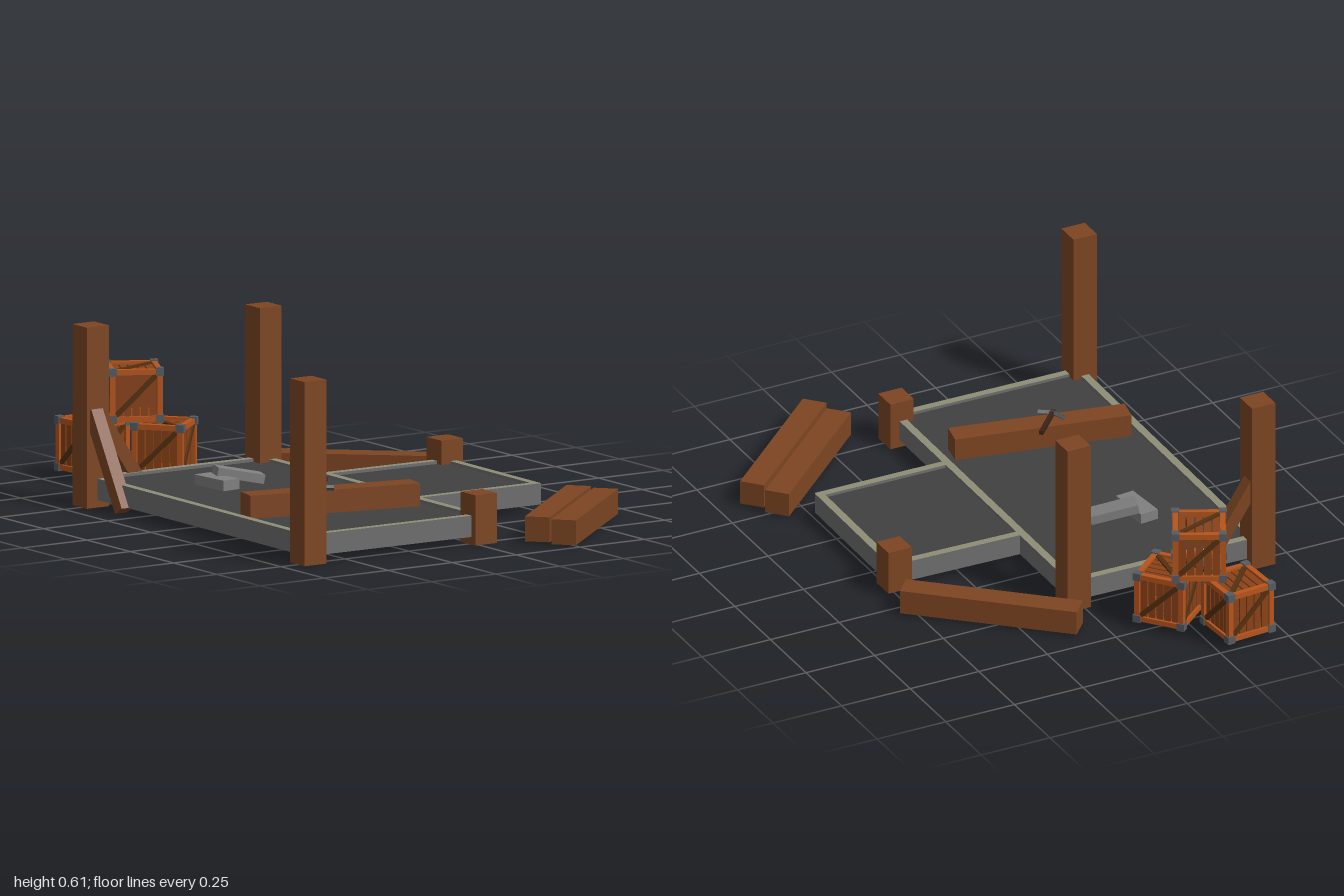
import * as THREE from 'three';

const mat = (color, extra = {}) => new THREE.MeshStandardMaterial({ color, flatShading: true, side: THREE.DoubleSide, ...extra });
const WOOD = mat(0x7d4522), CRATE = mat(0xb8551c), PLANK = mat(0x8a4218), STRAP = mat(0x55300f);
const METAL = mat(0x555b62), STONE = mat(0x6e6e6e), TRIM = mat(0x8d8d76), FLOOR = mat(0x404040);
const BRICK = mat(0x808080), HANDLE = mat(0x3a2415);

const V = (x, y, z) => new THREE.Vector3(x, y, z);

function box(name, w, h, d, x, y, z, material) {
  const m = new THREE.Mesh(new THREE.BoxGeometry(w, h, d), material);
  m.position.set(x, y, z);
  m.name = name;
  return m;
}

// Box stretched between two points
function beam(name, a, b, w, h, material) {
  const m = box(name, w, h, a.distanceTo(b), 0, 0, 0, material);
  m.position.copy(a).lerp(b, 0.5);
  m.lookAt(b);
  return m;
}

// Square post, open underneath
function post(name, x, z, y0, y1) {
  const m = box(name, 0.085, y1 - y0, 0.085, x, (y0 + y1) / 2, z, WOOD);
  const idx = Array.from(m.geometry.index.array);
  idx.splice(18, 6);
  m.geometry.setIndex(idx);
  m.geometry.clearGroups();
  return m;
}

// Stone kerb with a pale top
function kerb(a, b) {
  const sides = [STONE, STONE, TRIM, STONE, STONE, STONE];
  return beam('floorKerb', V(a[0], 0.065, a[1]), V(b[0], 0.065, b[1]), 0.027, 0.07, sides);
}

// One side of a crate: planks with gaps and a diagonal strap, facing +z
function crateSide(s) {
  const g = new THREE.Group();
  g.name = 'crateSide';
  const inner = s - 0.034, n = 5, pitch = inner / n;
  for (let i = 0; i < n; i++) {
    g.add(box('cratePlank', pitch * 0.84, inner, 0.006, (i - (n - 1) / 2) * pitch, 0, s / 2 - 0.011, PLANK));
  }
  const strap = box('crateDiagonal', inner * 1.34, 0.016, 0.008, 0, 0, s / 2 - 0.006, STRAP);
  strap.rotation.z = Math.PI / 4;
  g.add(strap);
  return g;
}

function crate(x, y, z, degrees) {
  const g = new THREE.Group();
  g.name = 'crate';
  const s = 0.172, bar = 0.018, e = (s - bar) / 2, cap = 0.026;
  for (let i = 0; i < 4; i++) {
    const side = crateSide(s);
    side.rotation.y = i * Math.PI / 2;
    g.add(side);
  }
  for (const r of [-1, 1]) {
    const lid = crateSide(s);
    lid.rotation.x = r * Math.PI / 2;
    g.add(lid);
  }
  // edge bars and metal corner caps
  for (const a of [-1, 1]) for (const b of [-1, 1]) {
    g.add(box('crateEdge', s, bar, bar, 0, a * e, b * e, CRATE));
    g.add(box('crateEdge', bar, s, bar, a * e, 0, b * e, CRATE));
    g.add(box('crateEdge', bar, bar, s, a * e, b * e, 0, CRATE));
    for (const c of [-1, 1]) {
      const o = 0.09 - cap / 2;
      g.add(box('crateCorner', cap, cap, cap, a * o, b * o, c * o, METAL));
    }
  }
  g.position.set(x, y, z);
  g.rotation.y = THREE.MathUtils.degToRad(degrees);
  return g;
}

function floor(name, x0, x1, z0, z1) {
  const m = new THREE.Mesh(new THREE.PlaneGeometry(x1 - x0, z1 - z0), FLOOR);
  m.rotation.x = -Math.PI / 2;
  m.position.set((x0 + x1) / 2, 0.09, (z0 + z1) / 2);
  m.name = name;
  return m;
}

export function createModel() {
  const model = new THREE.Group();
  model.name = 'ruinedBuildingSite';

  // Floors and kerbs
  model.add(floor('mainFloor', -0.635, 0.03, -0.5, 0.755));
  model.add(floor('annexFloor', 0.03, 0.495, -0.14, 0.39));
  const kerbs = [
    [[-0.625, -0.505], [0.02, -0.497]], [[-0.64, 0.745], [0.035, 0.752]],
    [[-0.627, -0.5], [-0.64, 0.75]], [[0.03, -0.5], [0.022, 0.75]],
    [[0.035, -0.14], [0.5, -0.13]], [[0.035, 0.388], [0.5, 0.39]], [[0.495, -0.14], [0.488, 0.4]],
  ];
  for (const [a, b] of kerbs) model.add(kerb(a, b));

  // Posts
  model.add(post('frontRightPost', -0.64, 0.745, 0.005, 0.61));
  model.add(post('backRightPost', -0.64, -0.51, 0.005, 0.6));
  model.add(post('backLeftPost', 0.022, -0.49, 0.005, 0.6));
  model.add(post('frontLeftStump', 0.027, 0.745, 0.005, 0.17));
  model.add(post('annexStump', 0.49, -0.135, 0.02, 0.17));

  // Braces of the back right post
  model.add(beam('brace', V(-0.42, 0.02, -0.52), V(-0.62, 0.32, -0.52), 0.045, 0.045, WOOD));
  model.add(beam('brace', V(-0.648, 0.02, -0.305), V(-0.648, 0.32, -0.48), 0.045, 0.045, WOOD));

  // Loose beams
  const loose = [
    [V(-0.602, 0.125, 0.328), V(-0.02, 0.125, 0.445)],
    [V(0.17, 0.052, 0.87), V(0.6, 0.052, 0.475)],
    [V(0.21, 0.052, 0.963), V(0.645, 0.052, 0.565)],
    [V(0.083, 0.052, -0.655), V(0.525, 0.052, -0.265)],
  ];
  for (const [a, b] of loose) model.add(beam('looseBeam', a, b, 0.082, 0.082, WOOD));

  // Stacked crates
  model.add(crate(-0.36, 0.12, -0.91, 4));
  model.add(crate(-0.2, 0.12, -0.735, 40));
  model.add(crate(-0.275, 0.3, -0.803, -27));

  // Two bricks, one leaning on the other
  const flat = box('brick', 0.065, 0.035, 0.15, -0.375, 0.107, -0.173, BRICK);
  flat.rotation.y = 0.09;
  const leaning = box('leaningBrick', 0.16, 0.03, 0.067, -0.285, 0.122, -0.18, BRICK);
  leaning.rotation.set(0, -0.33, -0.2);
  model.add(flat, leaning);

  // Pick lying on the beam
  const pick = new THREE.Group();
  pick.name = 'pick';
  pick.add(beam('pickHandle', V(-0.375, 0.174, 0.415), V(-0.27, 0.178, 0.298), 0.014, 0.014, HANDLE));
  const arc = new THREE.CatmullRomCurve3([V(-0.385, 0.174, 0.362), V(-0.368, 0.174, 0.405), V(-0.328, 0.174, 0.433)]);
  const head = new THREE.Mesh(new THREE.TubeGeometry(arc, 8, 0.009, 4), METAL);
  head.name = 'pickHead';
  pick.add(head);
  model.add(pick);

  return model;
}
